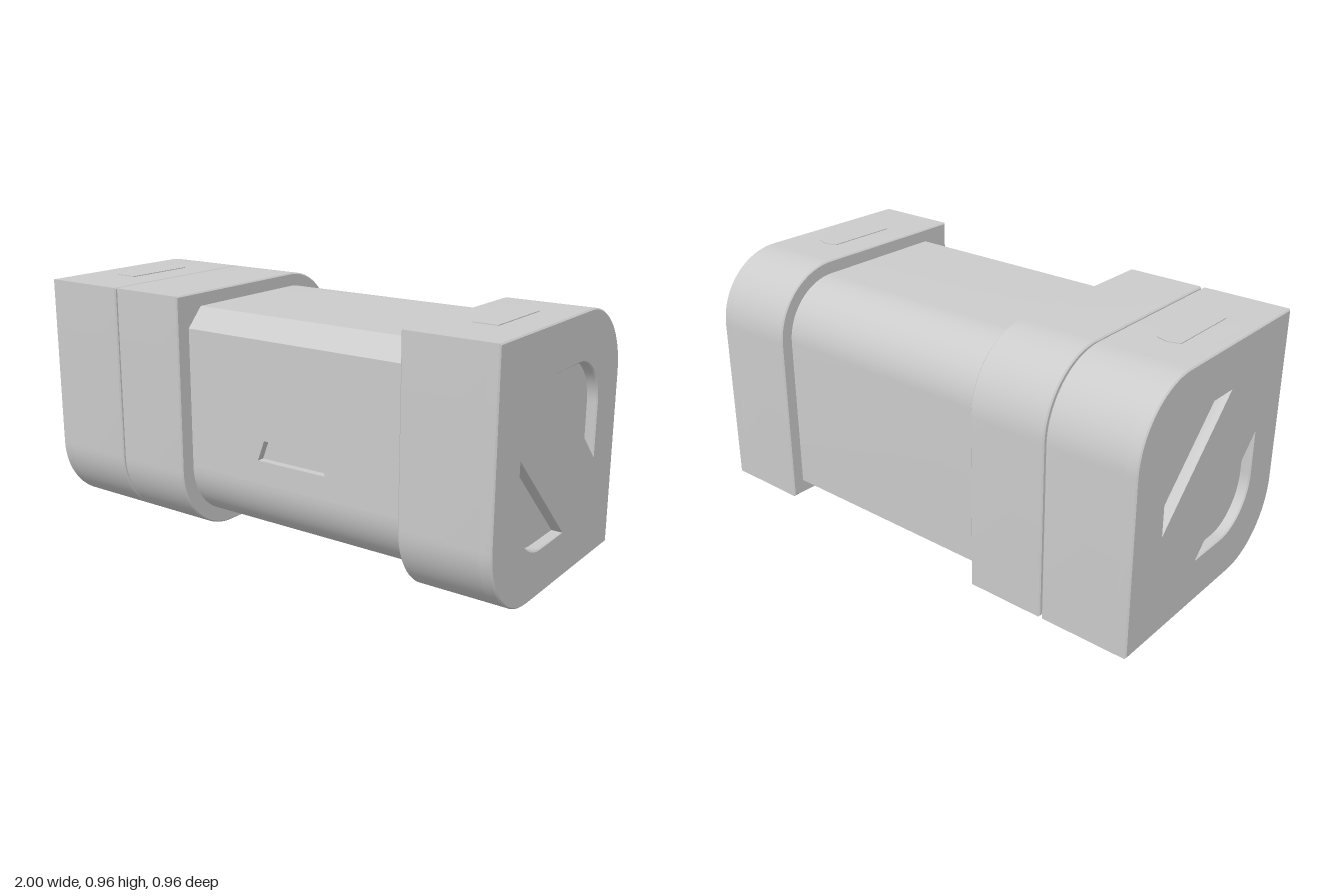
import * as THREE from 'three';
import { toCreasedNormals } from 'three/addons/utils/BufferGeometryUtils.js';

const material = new THREE.MeshStandardMaterial({ color: 0xcccccc });
const BEVEL = 0.005;

function extrude(shape, depth, bevel) {
  return new THREE.ExtrudeGeometry(shape, {
    depth: depth - 2 * bevel, curveSegments: 10, bevelEnabled: bevel > 0,
    bevelThickness: bevel, bevelSize: bevel, bevelOffset: -bevel, bevelSegments: 1,
  }).translate(0, 0, bevel);
}

function addMesh(group, name, geometry) {
  const mesh = new THREE.Mesh(toCreasedNormals(geometry, 0.5), material);
  mesh.name = name;
  group.add(mesh);
}

// Side profiles are drawn in (-z, y) and swept along x
function sweepX(shape, x0, x1, bevel = 0) {
  return extrude(shape, x1 - x0, bevel).rotateY(Math.PI / 2).translate(x0, 0, 0);
}

// Square with its upper back and lower front corners rounded
function capProfile() {
  const h = 0.48, r = 0.28, y0 = 0.003, y1 = 0.963;
  const s = new THREE.Shape();
  s.moveTo(-h + r, y0);
  s.lineTo(h, y0);
  s.absarc(h - r, y1 - r, r, 0, Math.PI / 2, false);
  s.lineTo(-h, y1);
  s.absarc(-h + r, y0 + r, r, Math.PI, Math.PI * 1.5, false);
  return s;
}

// Cap profile pierced by two round-cornered triangles
function endProfile() {
  const s = capProfile();
  const upper = new THREE.Path();
  upper.moveTo(-0.085, 0.785);
  upper.lineTo(0.3, 0.4);
  upper.lineTo(0.3, 0.6);
  upper.absellipse(0.12, 0.6, 0.18, 0.185, 0, Math.PI / 2, false);
  const lower = new THREE.Path();
  lower.moveTo(-0.305, 0.54);
  lower.lineTo(-0.305, 0.37);
  lower.absellipse(-0.12, 0.37, 0.185, 0.19, Math.PI, Math.PI * 1.5, false);
  lower.lineTo(0.055, 0.18);
  s.holes.push(upper, lower);
  return s;
}

// Inner body with a shallow step in front to seat the front panel
function bodyProfile() {
  const r = 0.23, s = new THREE.Shape();
  s.moveTo(-0.19, 0.06);
  s.lineTo(0.43, 0.06);
  s.absarc(0.2, 0.68, r, 0, Math.PI / 2, false);
  s.lineTo(-0.35, 0.91);
  s.lineTo(-0.42, 0.835);
  s.lineTo(-0.39, 0.835);
  s.lineTo(-0.39, 0.29);
  s.lineTo(-0.42, 0.29);
  s.absarc(-0.19, 0.29, r, Math.PI, Math.PI * 1.5, false);
  return s;
}

function polygon(points, Type = THREE.Shape) {
  return new Type(points.map(([x, y]) => new THREE.Vector2(x, y)));
}

export function createModel() {
  const model = new THREE.Group();
  model.name = 'capsule';

  // Body and front panel with its trapezoid recess
  addMesh(model, 'body', sweepX(bodyProfile(), -0.66, 0.66));
  const panel = polygon([[-0.66, 0.29], [0.66, 0.29], [0.66, 0.835], [-0.66, 0.835]]);
  panel.holes.push(polygon([[0, 0.38], [0.03, 0.46], [0.28, 0.46], [0.305, 0.38]], THREE.Path));
  addMesh(model, 'frontPanel', extrude(panel, 0.03, 0).translate(0, 0, 0.39));

  // Ring beside the right cap
  addMesh(model, 'ring', sweepX(capProfile(), -0.64, -0.325, BEVEL));

  // End caps, each with a recessed end plate and a raised tab on top
  for (const [side, name] of [[-1, 'right'], [1, 'left']]) {
    const cap = new THREE.Group();
    cap.name = name + 'Cap';
    const span = (a, b) => (side > 0 ? [a, b] : [-b, -a]);
    addMesh(cap, name + 'CapBlock', sweepX(capProfile(), ...span(0.647, 0.96), BEVEL));
    addMesh(cap, name + 'EndPlate', sweepX(endProfile(), ...span(0.95, 1), BEVEL));
    const tab = polygon([[-0.047, -0.25], [0.047, -0.25], [0.047, 0.05], [0, 0.065], [-0.047, 0.05]]);
    addMesh(cap, name + 'Tab',
      extrude(tab, 0.01, 0).rotateX(-Math.PI / 2).translate(side * 0.824, 0.956, 0));
    model.add(cap);
  }
  return model;
}
